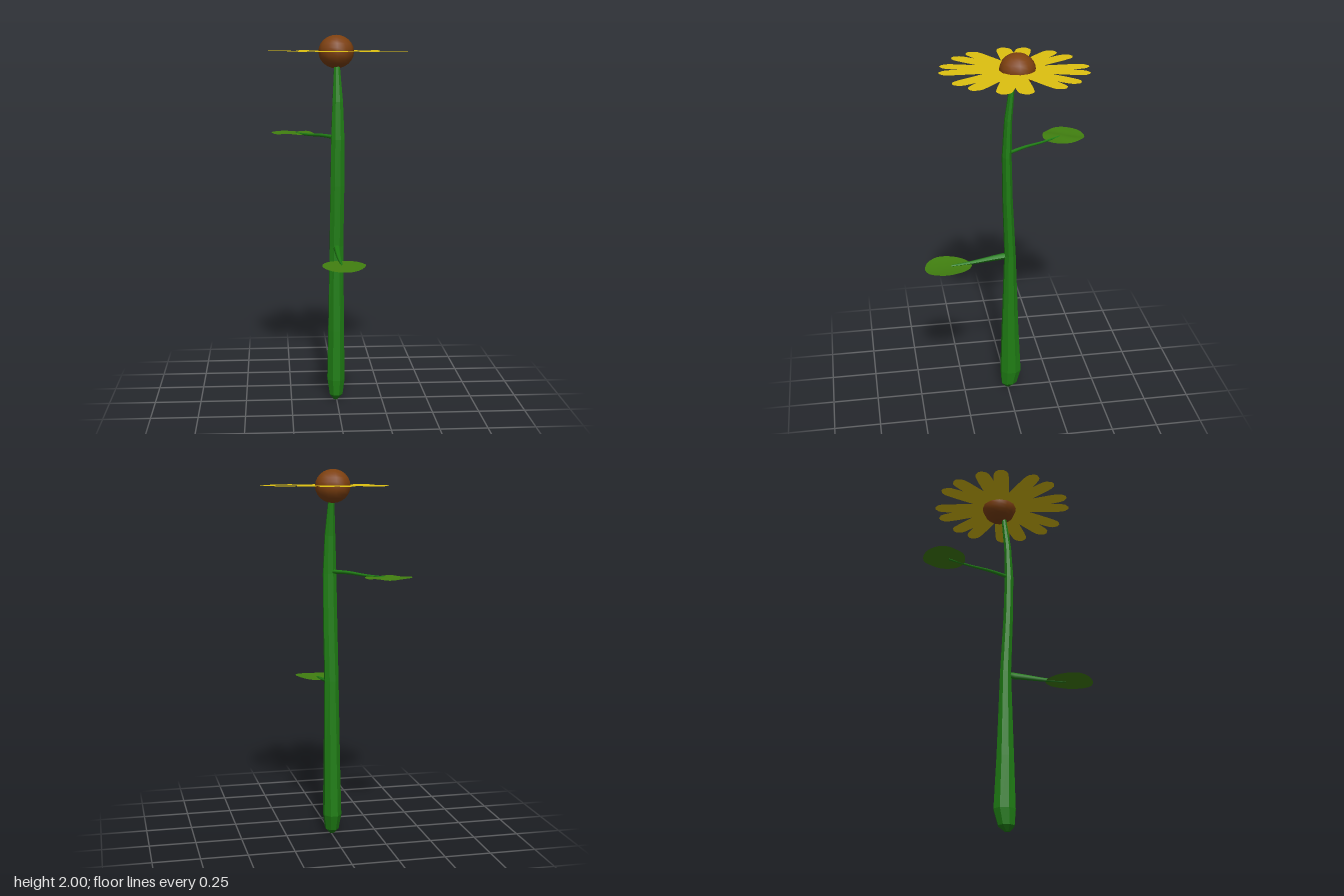
import * as THREE from 'three';

const mat = (color, extra = {}) => new THREE.MeshStandardMaterial({ color, ...extra });
const STEM = 0x1f7d14, LEAF = 0x417f10, PETAL = 0xdec010, DISC = 0x7d4010;

function part(name, geometry, material) {
  const mesh = new THREE.Mesh(geometry, material);
  mesh.name = name;
  return mesh;
}

// Joins elliptical rings [y, x, z, radiusX, radiusZ] into a closed tube
function loft(rings, sides) {
  const pos = [], idx = [];
  for (const [y, x, z, rx, rz] of rings) {
    for (let i = 0; i < sides; i++) {
      const a = ((i + 0.5) / sides) * Math.PI * 2;
      pos.push(x + rx * Math.sin(a), y, z + rz * Math.cos(a));
    }
  }
  for (let r = 0; r < rings.length - 1; r++) {
    for (let i = 0; i < sides; i++) {
      const a = r * sides + i, b = r * sides + (i + 1) % sides;
      idx.push(a, b, b + sides, a, b + sides, a + sides);
    }
  }
  const top = (rings.length - 1) * sides;
  for (let i = 1; i < sides - 1; i++) {
    idx.push(0, i + 1, i, top, top + i, top + i + 1);
  }
  const g = new THREE.BufferGeometry();
  g.setAttribute('position', new THREE.Float32BufferAttribute(pos, 3));
  g.setIndex(idx);
  g.computeVertexNormals();
  return g;
}

// Thin blade: concentric rings shrunk from a smooth [x, z] outline, height by rule
function blade(outline, cx, cz, height) {
  const curve = new THREE.CatmullRomCurve3(
    outline.map(([x, z]) => new THREE.Vector3(x, 0, z)), true);
  const n = 28, rings = 4, pos = [cx, height(0, 0), cz], idx = [];
  for (let r = 1; r <= rings; r++) {
    for (let i = 0; i < n; i++) {
      const p = curve.getPoint(i / n), t = r / rings;
      const dx = (p.x - cx) * t, dz = (p.z - cz) * t;
      pos.push(cx + dx, height(dx, dz), cz + dz);
    }
  }
  for (let i = 0; i < n; i++) {
    const j = (i + 1) % n;
    idx.push(0, 1 + i, 1 + j);
    for (let r = 0; r < rings - 1; r++) {
      const a = 1 + r * n + i, b = 1 + r * n + j;
      idx.push(a, a + n, b + n, a, b + n, b);
    }
  }
  const g = new THREE.BufferGeometry();
  g.setAttribute('position', new THREE.Float32BufferAttribute(pos, 3));
  g.setIndex(idx);
  g.computeVertexNormals();
  return g;
}

// Tapered stalk along a curve: a tube whose rings shrink from r0 to r1
function stalk(points, r0, r1) {
  const curve = new THREE.CatmullRomCurve3(points.map(p => new THREE.Vector3(...p)));
  const steps = 8, sides = 6;
  const g = new THREE.TubeGeometry(curve, steps, 1, sides);
  const p = g.attributes.position, v = new THREE.Vector3();
  for (let i = 0; i < p.count; i++) {
    const t = Math.floor(i / (sides + 1)) / steps, c = curve.getPointAt(t);
    v.fromBufferAttribute(p, i).sub(c).multiplyScalar(r0 + (r1 - r0) * t).add(c);
    p.setXYZ(i, v.x, v.y, v.z);
  }
  g.computeVertexNormals();
  return g;
}

export function createModel() {
  const root = new THREE.Group();
  root.name = 'flower';

  // Stem: slightly bent, eight-sided, blunt at the foot
  root.add(part('stem', loft([
    [0.005, -0.005, -0.003, 0.012, 0.014],
    [0.035, -0.003, -0.008, 0.038, 0.045],
    [0.12, -0.003, -0.017, 0.051, 0.061],
    [0.4, -0.002, -0.014, 0.046, 0.049],
    [0.87, 0, -0.013, 0.04, 0.032],
    [1.2, 0.004, 0.001, 0.04, 0.028],
    [1.45, 0.006, 0.006, 0.038, 0.026],
    [1.65, 0.006, -0.002, 0.03, 0.021],
    [1.86, 0.003, -0.026, 0.015, 0.013],
  ], 8), mat(STEM, { flatShading: true })));

  // Petals: flat strips with clipped tips, spread in close pairs
  const half = [[0.043, 0], [0.043, 0.3], [0.04, 0.345], [0.033, 0.365], [0.01, 0.384]];
  const outline = [...half, ...half.map(([x, y]) => [-x, y]).reverse()];
  const petalGeo = new THREE.ShapeGeometry(
    new THREE.Shape(outline.map(([x, y]) => new THREE.Vector2(x, y))));
  petalGeo.rotateX(-Math.PI / 2);
  const petalMat = mat(PETAL, { side: THREE.DoubleSide });
  const petals = new THREE.Group();
  petals.name = 'petals';
  petals.position.set(0, 1.915, -0.035);
  for (let quarter = 0; quarter < 4; quarter++) {
    for (const angle of [0, 17.5, 42, 60]) {
      const petal = part('petal', petalGeo, petalMat);
      petal.rotation.y = -THREE.MathUtils.degToRad(angle + quarter * 90);
      petals.add(petal);
    }
  }
  root.add(petals);

  // Seed head in the middle of the petals
  const disc = part('seedHead', new THREE.SphereGeometry(1, 12, 12), mat(DISC));
  disc.scale.set(0.095, 0.088, 0.095);
  disc.position.set(0.001, 1.912, -0.05);
  root.add(disc);

  // Leaves with their stalks
  const leafMat = mat(LEAF, { side: THREE.DoubleSide });
  const stalkMat = mat(STEM);
  const frontLeaf = new THREE.Group();
  frontLeaf.name = 'frontLeaf';
  frontLeaf.add(
    part('blade', blade([
      [0.01, 0.2], [0.048, 0.208], [0.09, 0.24], [0.12, 0.3], [0.13, 0.35], [0.09, 0.43],
      [0.025, 0.455], [-0.05, 0.436], [-0.09, 0.387], [-0.095, 0.34], [-0.075, 0.27], [-0.035, 0.22],
    ], 0.017, 0.33, (dx, dz) => 0.827 + 0.8 * dx * dx - 0.03 * dz), leafMat),
    part('stalk', stalk([
      [0, 0.862, 0], [0, 0.852, 0.08], [0.003, 0.836, 0.2], [0.01, 0.829, 0.31],
    ], 0.019, 0.005), stalkMat));

  const backLeaf = new THREE.Group();
  backLeaf.name = 'backLeaf';
  backLeaf.add(
    part('blade', blade([
      [-0.225, -0.457], [-0.303, -0.425], [-0.345, -0.36], [-0.337, -0.3], [-0.29, -0.25],
      [-0.235, -0.23], [-0.18, -0.235], [-0.125, -0.265], [-0.108, -0.31], [-0.12, -0.39], [-0.16, -0.44],
    ], -0.23, -0.345, (dx, dz) => 1.457 + 0.003 * Math.sin(dx * 40 + dz * 25)), leafMat),
    part('stalk', stalk([
      [-0.005, 1.46, 0], [-0.07, 1.463, -0.1], [-0.14, 1.457, -0.21], [-0.21, 1.457, -0.32],
    ], 0.011, 0.005), stalkMat));
  root.add(frontLeaf, backLeaf);

  return root;
}
